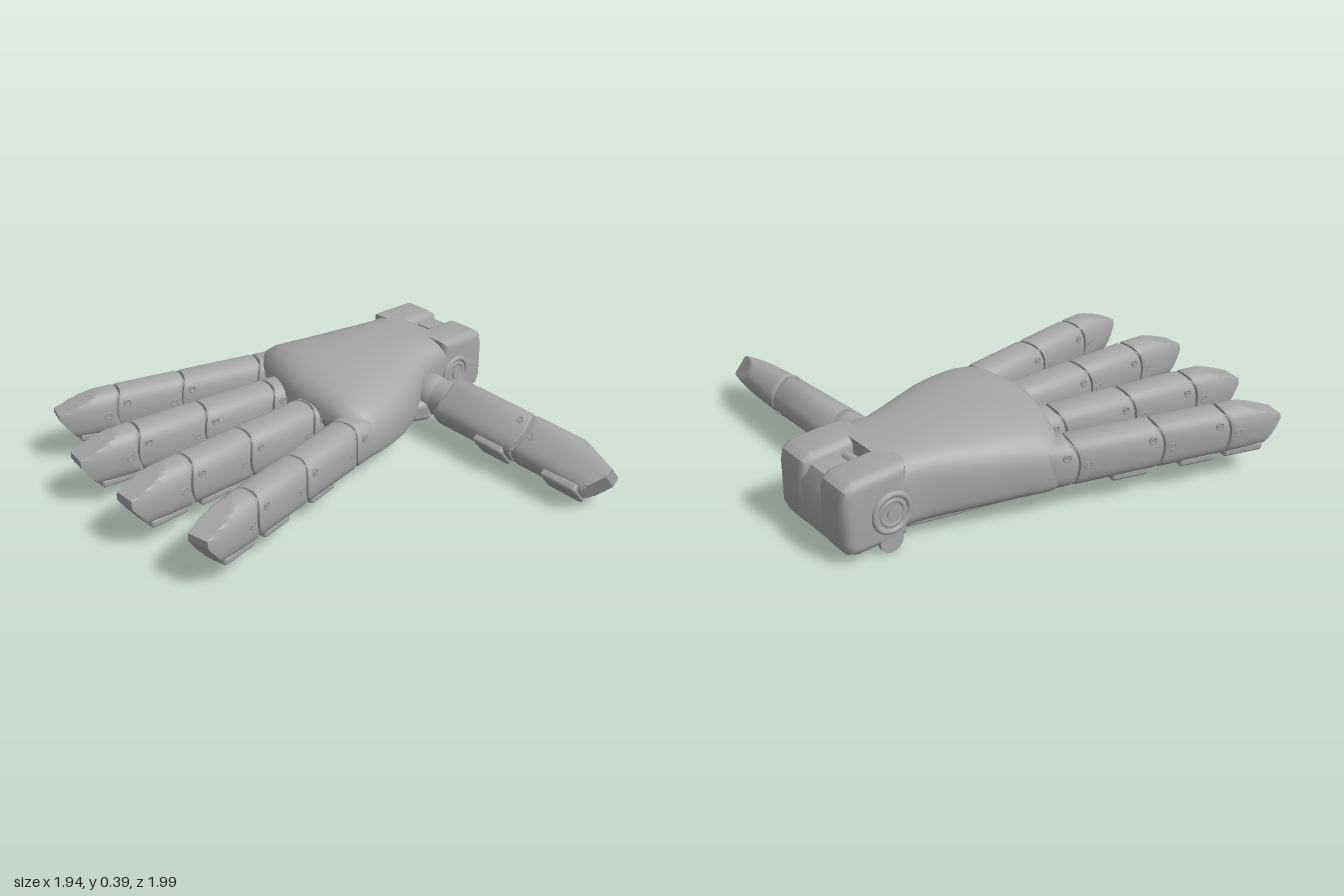
import * as THREE from 'three';
import { toCreasedNormals } from 'three/addons/utils/BufferGeometryUtils.js';
import { RoundedBoxGeometry } from 'three/addons/geometries/RoundedBoxGeometry.js';

const shellGrey = new THREE.MeshStandardMaterial({ color: 0xa6a6a6 });
shellGrey.name = 'shell grey';

const { lerp, clamp, smoothstep } = THREE.MathUtils;

function add(parent, name, geometry, x = 0, y = 0, z = 0) {
  const mesh = new THREE.Mesh(geometry, shellGrey);
  mesh.name = name;
  mesh.position.set(x, y, z);
  parent.add(mesh);
  return mesh;
}

// Superellipse ring, counter-clockwise about +z, with its own top and bottom squareness
function ring(z, xl, xr, top, bottom, nTop, nBottom, midY, count = 32) {
  const points = [];
  const cx = (xl + xr) / 2, w = (xr - xl) / 2;
  for (let i = 0; i < count; i++) {
    const a = (i / count) * Math.PI * 2, c = Math.cos(a), s = Math.sin(a);
    const n = s >= 0 ? nTop : nBottom;
    const px = Math.sign(c) * Math.abs(c) ** (2 / n);
    const py = Math.abs(s) ** (2 / n);
    points.push(new THREE.Vector3(cx + w * px, s >= 0 ? midY + (top - midY) * py : midY - (midY - bottom) * py, z));
  }
  return points;
}

// Skin rings ordered along +z and close both ends
function loft(rings, warp, crease) {
  const n = rings[0].length, pos = [], index = [];
  const push = (v) => { const p = v.clone(); warp(p); pos.push(p.x, p.y, p.z); };
  rings.forEach((r) => r.forEach(push));
  for (let i = 0; i < rings.length - 1; i++) {
    for (let j = 0; j < n; j++) {
      const k = (j + 1) % n, a = i * n + j, b = i * n + k;
      index.push(a, b, b + n, a, b + n, a + n);
    }
  }
  const first = rings.length * n, base = first - n;
  for (const r of [rings[0], rings[rings.length - 1]]) {
    push(r.reduce((sum, v) => sum.add(v), new THREE.Vector3()).divideScalar(n));
  }
  for (let j = 0; j < n; j++) {
    const k = (j + 1) % n;
    index.push(first, k, j, first + 1, base + j, base + k);
  }
  const g = new THREE.BufferGeometry();
  g.setAttribute('position', new THREE.Float32BufferAttribute(pos, 3));
  g.setIndex(index);
  return toCreasedNormals(g, crease);
}

const crossCylinder = (r, length, sides = 24) =>
  new THREE.CylinderGeometry(r, r, length, sides).rotateZ(Math.PI / 2);

// One digit, running along its local +z with the back of the finger on +y
function makeDigit(name, { base, tip, y, joints, scale = 1, roll = 0, pitch = 0, start = -0.1 }) {
  const digit = new THREE.Group();
  digit.name = name;
  const dx = tip[0] - base[0], dz = tip[1] - base[1], L = Math.hypot(dx, dz);
  digit.position.set(base[0], y, base[1]);
  digit.rotation.set(pitch, Math.atan2(dx, dz), roll, 'YXZ');

  const h = 0.107 * scale, gap = 0.012, bulge = 0.03;
  const width = (s) => scale * lerp(0.09, 0.078, clamp(s / L, 0, 1));
  const section = (s, k) => ring(s, -width(s) * k, width(s) * k, h * k, -h * k, 2.7, 3.2, 0);
  // Rounded joint edges, bowed toward the fingertip
  const bow = (p) => { p.z += bulge * (1 - Math.min(1, (p.y / h) ** 2)); };

  const cuts = [start, ...joints.map((f) => f * L)];
  cuts.forEach((s0, i) => {
    if (i < cuts.length - 1) {
      const s1 = cuts[i + 1] - gap;
      add(digit, 'phalanx', loft(
        [[s0, 0.96], [s0 + 0.012, 1], [s1 - 0.012, 1], [s1, 0.96]].map(([s, k]) => section(s, k)), bow, 0.6));
      if (s1 - s0 > 0.2) {
        add(digit, 'gripPad', new RoundedBoxGeometry(0.13 * scale, 0.04, 0.16, 2, 0.014), 0, -h + 0.004, s1 - 0.1);
      }
    } else {
      // Fingertip with a flat sloping nail and a chamfered underside
      const nailStart = L - 0.19;
      const rings = [section(s0, 0.96), section(s0 + 0.012, 1)];
      for (let k = 1; k <= 18; k++) {
        const t = k / 18, s = lerp(s0 + 0.012, L, t);
        const w = width(s) * (1 - 0.34 * t ** 3);
        rings.push(ring(s, -w, w, h * (1 - 0.04 * t * t), -h, lerp(2.7, 1.9, t), 3.2, 0));
      }
      add(digit, 'fingertip', loft(rings, (p) => {
        const s = p.z;
        const nail = h - 0.36 * Math.max(0, s - nailStart);
        const under = -h + 1.45 * Math.max(0, s - (L - 0.075));
        p.y = Math.max(Math.min(p.y, nail), under);
        p.z += bulge * (1 - (p.y / h) ** 2) * (1 - smoothstep(s, s0, s0 + 0.1));
      }, 0.45));
      add(digit, 'gripPad', new RoundedBoxGeometry(0.125 * scale, 0.04, 0.18, 2, 0.014), 0, -h + 0.006, L - 0.17);
    }
    // Inner knuckle and its side screws
    if (i > 0) {
      add(digit, 'knuckle', crossCylinder(h * 0.8, width(s0) * 1.46), 0, 0, s0 - 0.01);
      for (const side of [-1, 1]) {
        for (const [ds, py] of [[-0.028, 0.045], [0.06, 0]]) {
          const x = side * width(s0) * 0.96;
          add(digit, 'screw', new THREE.TorusGeometry(0.014, 0.005, 6, 16), x, py, s0 + ds).rotation.y = Math.PI / 2;
          add(digit, 'screwCore', crossCylinder(0.009, 0.012, 6), x, py, s0 + ds);
        }
      }
    }
  });
  return digit;
}

// Side profile (z, y) extruded across x from x0 to x1
function sidePlate(points, x0, x1, bevel) {
  const shape = new THREE.Shape(points.map(([z, y]) => new THREE.Vector2(z, y)));
  const g = new THREE.ExtrudeGeometry(shape, {
    depth: x1 - x0 - 2 * bevel, bevelSize: bevel, bevelThickness: bevel, bevelOffset: -bevel, bevelSegments: 5,
  });
  return toCreasedNormals(g.rotateY(-Math.PI / 2).translate(x1 - bevel, 0, 0), 0.6);
}

export function createModel() {
  const hand = new THREE.Group();
  hand.name = 'mechanicalHand';

  // Palm shell: z, left edge, right edge, top, bottom, squareness of the top
  const palm = [
    [-0.78, -0.53, -0.06, 0.348, 0.042, 4.5], [-0.68, -0.53, -0.06, 0.357, 0.047, 4],
    [-0.62, -0.545, -0.055, 0.364, 0.05, 3.6], [-0.52, -0.58, -0.01, 0.372, 0.055, 3.2],
    [-0.42, -0.615, 0.04, 0.38, 0.06, 2.9], [-0.3, -0.655, 0.095, 0.388, 0.066, 2.7],
    [-0.2, -0.678, 0.118, 0.39, 0.07, 2.7], [-0.1, -0.698, 0.132, 0.388, 0.074, 2.7],
    [-0.03, -0.705, 0.137, 0.372, 0.078, 2.7], [0.015, -0.7, 0.132, 0.342, 0.08, 2.7],
    [0.035, -0.69, 0.122, 0.3, 0.09, 2.7],
  ];
  add(hand, 'palmShell', loft(
    palm.map(([z, xl, xr, top, bottom, n]) => ring(z, xl, xr, top, bottom, n, 4.5, 0.18, 56)),
    (p) => {
      // Front edge sweeps back toward the little finger
      const t = clamp((p.z + 0.3) / 0.3, 0, 1);
      p.z -= t * (0.15 * Math.max(0, (-0.25 - p.x) / 0.45) ** 1.3 + 0.04 * Math.max(0, p.x / 0.13) ** 2);
    }, 0.7));

  // Flat plate on the underside of the palm
  const plate = new THREE.Shape(
    [[-0.46, 0.72], [-0.14, 0.72], [-0.08, 0.5], [0.04, 0.25], [0.06, 0.06], [-0.25, 0.0], [-0.45, 0.05], [-0.6, 0.18], [-0.52, 0.5]]
      .map(([x, y]) => new THREE.Vector2(x, y)));
  add(hand, 'palmPlate', new THREE.ExtrudeGeometry(plate,
    { depth: 0.02, bevelSize: 0.01, bevelThickness: 0.01, bevelSegments: 2 }), 0, 0.082, -0.01).rotation.x = -Math.PI / 2 - 0.045;

  // Wrist: two cheeks around a slotted centre
  const cheek = [[-0.72, 0.045], [-0.94, 0.032], [-0.98, 0.045], [-1, 0.09], [-1, 0.26], [-0.988, 0.31],
    [-0.955, 0.335], [-0.8, 0.347], [-0.72, 0.35]];
  add(hand, 'wristCheekRight', sidePlate(cheek, -0.53, -0.345, 0.04));
  add(hand, 'wristCheekLeft', sidePlate(cheek, -0.25, -0.06, 0.04));
  add(hand, 'wristCentre', sidePlate(
    [[-0.7, 0.045], [-0.94, 0.032], [-0.985, 0.055], [-0.995, 0.1], [-0.995, 0.24], [-0.96, 0.3], [-0.85, 0.31], [-0.84, 0.26], [-0.7, 0.26]],
    -0.39, -0.21, 0.006));
  add(hand, 'wristPin', crossCylinder(0.022, 0.22), -0.297, 0.285, -0.81);
  add(hand, 'wristPlate', new RoundedBoxGeometry(0.3, 0.03, 0.24, 2, 0.01), -0.3, 0.042, -0.83);
  add(hand, 'cableTab', crossCylinder(0.05, 0.025), -0.515, 0.05, -0.8);

  // Pivot bosses on both sides of the wrist
  for (const side of [-1, 1]) {
    const x = -0.295 + side * 0.232;
    add(hand, 'wristBoss', crossCylinder(0.07, 0.016, 32), x, 0.17, -0.8);
    for (const [r, tube] of [[0.075, 0.012], [0.05, 0.008]]) {
      add(hand, 'wristBossRing', new THREE.TorusGeometry(r, tube, 10, 36), x + side * 0.004, 0.17, -0.8).rotation.y = Math.PI / 2;
    }
    add(hand, 'wristBolt', crossCylinder(0.026, 0.03, 6), x, 0.17, -0.8);
  }

  // Thumb mount
  add(hand, 'thumbSocket', new THREE.SphereGeometry(0.1, 28, 18), -0.01, 0.165, -0.58).scale.set(1.15, 0.95, 0.9);
  add(hand, 'thumbHinge', crossCylinder(0.085, 0.16), 0.06, 0.165, -0.585);
  add(hand, 'thumbBracket', new RoundedBoxGeometry(0.2, 0.1, 0.16, 3, 0.03), -0.07, 0.12, -0.5).rotation.y = -0.5;

  // Digits
  const digits = {
    littleFinger: { base: [-0.64, -0.1], tip: [-0.925, 0.82], y: 0.2, joints: [0.03, 0.41, 0.72], scale: 0.92, pitch: -0.02 },
    ringFinger: { base: [-0.42, 0.03], tip: [-0.575, 0.955], y: 0.195, joints: [0.02, 0.38, 0.715], scale: 0.98, pitch: -0.012 },
    middleFinger: { base: [-0.18, 0.05], tip: [-0.18, 0.995], y: 0.195, joints: [0, 0.37, 0.69], pitch: -0.025 },
    indexFinger: { base: [0.06, 0.03], tip: [0.225, 0.955], y: 0.195, joints: [0.02, 0.38, 0.7], scale: 0.98, pitch: -0.025 },
    thumb: { base: [0.1, -0.59], tip: [0.97, -0.59], y: 0.168, joints: [0.5], scale: 1.03, roll: -0.87, pitch: 0.03, start: -0.01 },
  };
  for (const [name, spec] of Object.entries(digits)) hand.add(makeDigit(name, spec));

  return hand;
}
